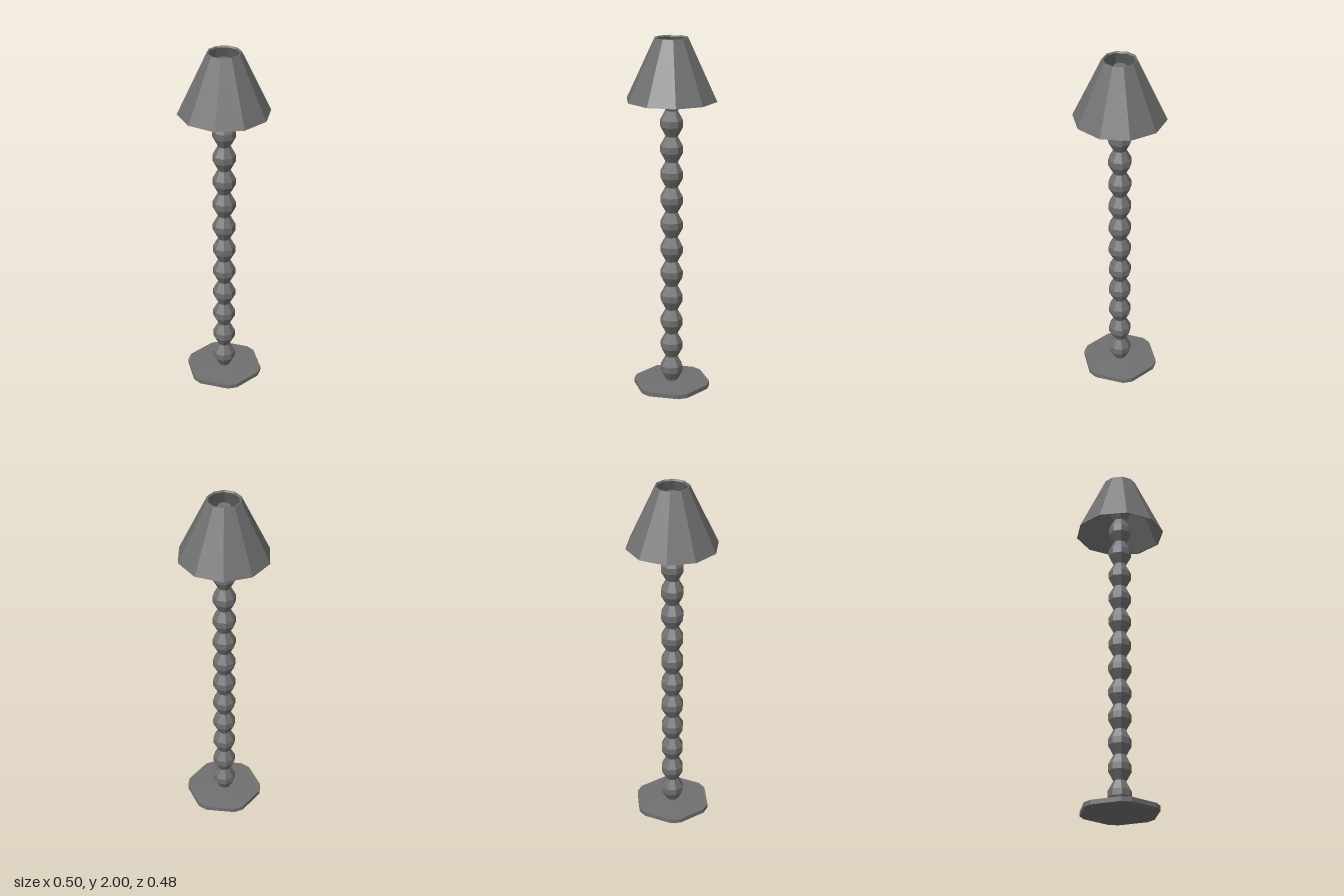
import * as THREE from 'three';

const material = new THREE.MeshStandardMaterial({ color: 0x707070, flatShading: true, side: THREE.DoubleSide });

function addPart(group, name, geometry) {
  const mesh = new THREE.Mesh(geometry, material);
  mesh.name = name;
  group.add(mesh);
}

function lathe(points, sides) {
  return new THREE.LatheGeometry(points.map(([r, y]) => new THREE.Vector2(r, y)), sides);
}

export function createModel() {
  const lamp = new THREE.Group();
  lamp.name = 'floorLamp';

  // Base plate: hexagon with clipped corners
  const cornerRadius = 0.2168, clipAngle = 0.128;
  const outline = [];
  for (let i = 0; i < 6; i++) {
    for (const side of [-1, 1]) {
      const a = i * Math.PI / 3 + side * clipAngle;
      outline.push(new THREE.Vector2(Math.cos(a) * cornerRadius, Math.sin(a) * cornerRadius));
    }
  }
  const plate = new THREE.ExtrudeGeometry(new THREE.Shape(outline), { depth: 0.025, bevelEnabled: false });
  addPart(lamp, 'basePlate', plate.rotateX(-Math.PI / 2));

  // Very shallow rise towards the stem
  const rise = new THREE.CylinderGeometry(0.075, 0.21, 0.006, 6, 1, true);
  addPart(lamp, 'baseRise', rise.rotateY(Math.PI / 6).translate(0, 0.028, 0));
  const riseTop = new THREE.CircleGeometry(0.075, 6);
  addPart(lamp, 'baseRiseTop', riseTop.rotateX(-Math.PI / 2).translate(0, 0.031, 0));

  // Stem: a stack of eight-sided beads with a short straight band each
  const beads = 13, pitch = 0.1433, bottom = 0.031, neck = 0.035, belly = 0.064, band = 0.018;
  const profile = [[0, bottom], [neck, bottom]];
  for (let i = 0; i < beads; i++) {
    const middle = bottom + (i + 0.5) * pitch;
    profile.push([belly, middle - band], [belly, middle + band], [neck, middle + pitch / 2]);
  }
  // Plain socket at the top of the stem
  profile.push([neck, 1.962], [0, 1.962]);
  addPart(lamp, 'beadedStem', lathe(profile, 8));

  // Shade: ten-sided, thin-walled and open at both ends, with a small lip inside the top
  const shade = lathe([
    [0.251, 1.663], [0.092, 2], [0.087, 2], [0.082, 1.993], [0.243, 1.663], [0.251, 1.663],
  ], 10);
  addPart(lamp, 'shade', shade.rotateY(Math.PI / 2));

  return lamp;
}
